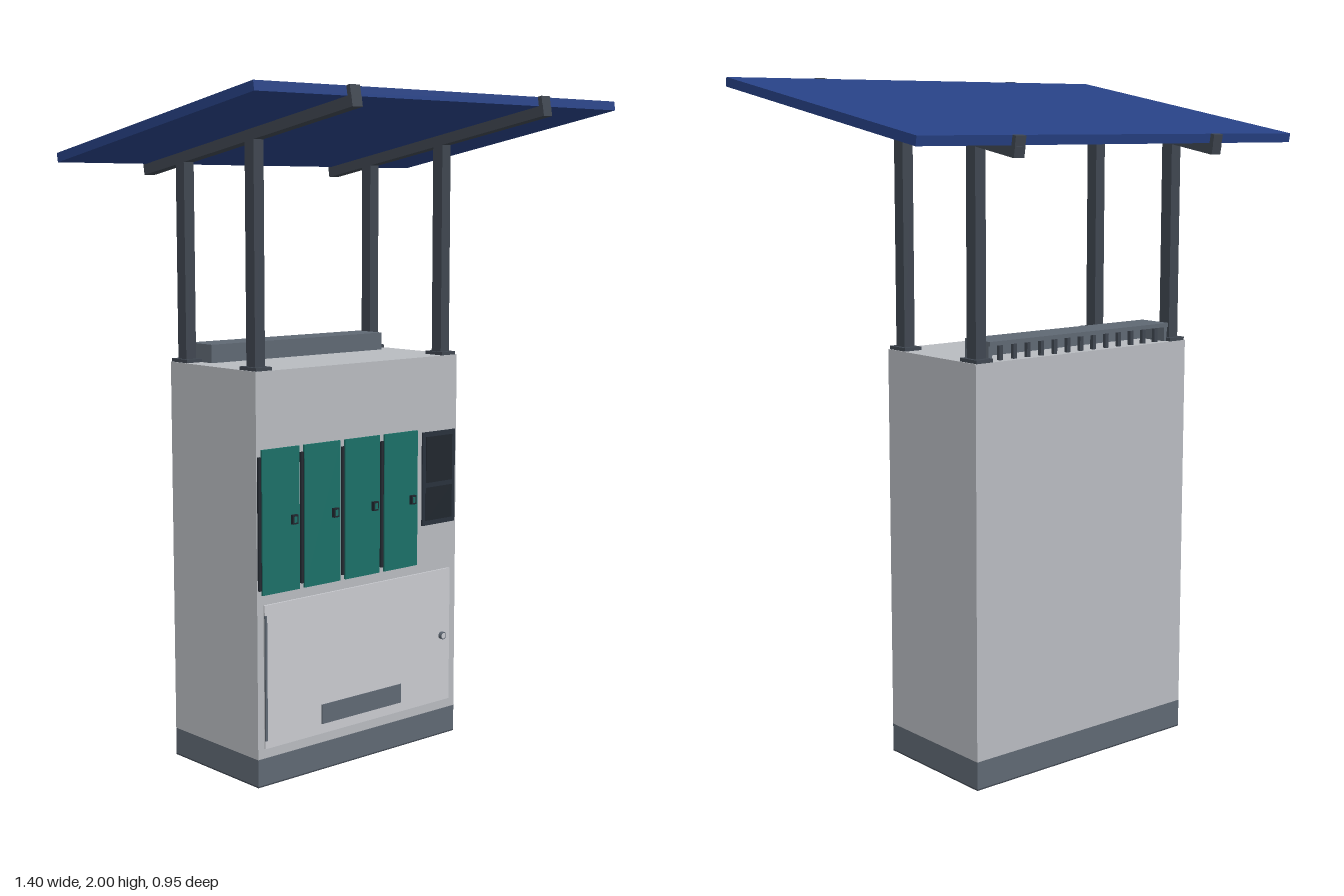
import * as THREE from 'three';

const mat = (color) => new THREE.MeshStandardMaterial({ color });

export function createModel() {
  const model = new THREE.Group();
  const shell = mat(0xb8bbc0), panelGrey = mat(0xc9cacf), slate = mat(0x5f6873), steel = mat(0x3f4650);
  const teal = mat(0x1b7067), black = mat(0x20262e), screen = mat(0x29313c), blue = mat(0x274184);

  // Box given by its min/max extents on each axis
  function box(name, m, x0, x1, y0, y1, z0, z1, parent = model) {
    const mesh = new THREE.Mesh(new THREE.BoxGeometry(x1 - x0, y1 - y0, z1 - z0), m);
    mesh.position.set((x0 + x1) / 2, (y0 + y1) / 2, (z0 + z1) / 2);
    mesh.name = name;
    parent.add(mesh);
    return mesh;
  }
  function rod(name, m, r, length, x, y, z, alongZ = false, sides = 12) {
    const mesh = new THREE.Mesh(new THREE.CylinderGeometry(r, r, length, sides), m);
    if (alongZ) mesh.rotation.x = Math.PI / 2;
    mesh.position.set(x, y, z);
    mesh.name = name;
    model.add(mesh);
  }
  // Horizontal rectangular frame, open in the middle
  function frame(name, m, hw, z0, z1, t, y0, y1) {
    const rect = (P, i) => {
      const p = new P();
      p.moveTo(-hw + i, -z1 + i);
      p.lineTo(hw - i, -z1 + i);
      p.lineTo(hw - i, -z0 - i);
      p.lineTo(-hw + i, -z0 - i);
      p.closePath();
      return p;
    };
    const s = rect(THREE.Shape, 0);
    s.holes.push(rect(THREE.Path, t));
    const mesh = new THREE.Mesh(new THREE.ExtrudeGeometry(s, { depth: y1 - y0, bevelEnabled: false }), m);
    mesh.rotation.x = -Math.PI / 2;
    mesh.position.y = y0;
    mesh.name = name;
    model.add(mesh);
  }

  // Cabinet on a hollow plinth
  const W = 0.405, ZB = -0.328, ZF = 0.078, TOP = 1.225;
  box('cabinet', shell, -W, W, 0.085, TOP, ZB, ZF);
  frame('plinth', slate, W, ZB, ZF, 0.03, 0.004, 0.085);
  frame('plinthFoot', steel, W, ZB, ZF, 0.035, 0, 0.004);
  frame('floorFrame', steel, W - 0.03, ZB + 0.03, ZF - 0.03, 0.035, 0.06, 0.085);

  // Locker doors with hinge rod and handle
  for (let i = 0; i < 4; i++) {
    const x = -0.319 + i * 0.1597;
    box('lockerDoor', teal, x - 0.07, x + 0.07, 0.575, 1.0, ZF, 0.085);
    rod('lockerHinge', black, 0.006, 0.39, x - 0.078, 0.785, 0.081);
    box('lockerHandle', black, x + 0.036, x + 0.056, 0.772, 0.8, 0.085, 0.095);
    box('handleInset', teal, x + 0.041, x + 0.051, 0.777, 0.795, 0.095, 0.0965);
  }

  // Control display
  box('displayPanel', screen, 0.254, 0.396, 0.695, 0.99, ZF, 0.083);
  box('displayScreen', black, 0.268, 0.382, 0.83, 0.975, 0.083, 0.0845);
  box('displayKeypad', black, 0.268, 0.382, 0.71, 0.815, 0.083, 0.0845);

  // Service door
  box('serviceDoor', panelGrey, -0.382, 0.376, 0.115, 0.545, ZF, 0.084);
  box('serviceHinge', slate, -0.384, -0.377, 0.14, 0.515, 0.084, 0.089);
  rod('serviceLock', slate, 0.012, 0.012, 0.34, 0.33, 0.089, true, 16);
  rod('serviceLockFace', panelGrey, 0.009, 0.002, 0.34, 0.33, 0.095, true, 16);
  box('serviceVent', slate, -0.165, 0.162, 0.145, 0.205, 0.084, 0.087);

  // Vent hood on the roof, open at the back with fins
  box('hoodTop', slate, -0.345, 0.345, 1.268, 1.28, -0.315, -0.205);
  box('hoodFront', slate, -0.345, 0.345, TOP, 1.268, -0.217, -0.205);
  for (const s of [-1, 1]) box('hoodEnd', slate, s * 0.339 - 0.006, s * 0.339 + 0.006, TOP, 1.268, -0.31, -0.217);
  for (let i = 0; i < 13; i++) {
    const x = -0.3 + i * 0.05;
    box('hoodFin', steel, x - 0.006, x + 0.006, TOP, 1.268, -0.31, -0.298);
  }

  // Tilted roof: solar panel on two rails with end clamps
  const tilt = 10 * Math.PI / 180, roofY = 1.921, roofZ = -0.01;
  const roof = new THREE.Group();
  roof.name = 'roof';
  roof.position.set(0, roofY, roofZ);
  roof.rotation.x = -tilt;
  model.add(roof);
  box('solarPanel', blue, -0.7, 0.7, -0.027, 0, -0.463, 0.463, roof);

  for (const s of [-1, 1]) {
    const x = s * 0.372;
    box('roofRail', steel, x - 0.018, x + 0.018, -0.058, -0.027, -0.478, 0.478, roof);
    for (const e of [-1, 1]) {
      const z = e * 0.47;
      box('endClamp', steel, x - 0.018, x + 0.018, -0.027, 0.0005, z - 0.007, z + 0.007, roof);
    }
    // Posts reach up into the rails
    for (const z of [0.038, -0.29]) {
      const top = roofY + (z - roofZ) * Math.tan(tilt) - 0.045;
      box('post', steel, x - 0.018, x + 0.018, TOP, top, z - 0.02, z + 0.02);
      box('postBase', steel, x - 0.029, x + 0.029, TOP, TOP + 0.01, z - 0.037, z + 0.037);
    }
  }
  return model;
}
